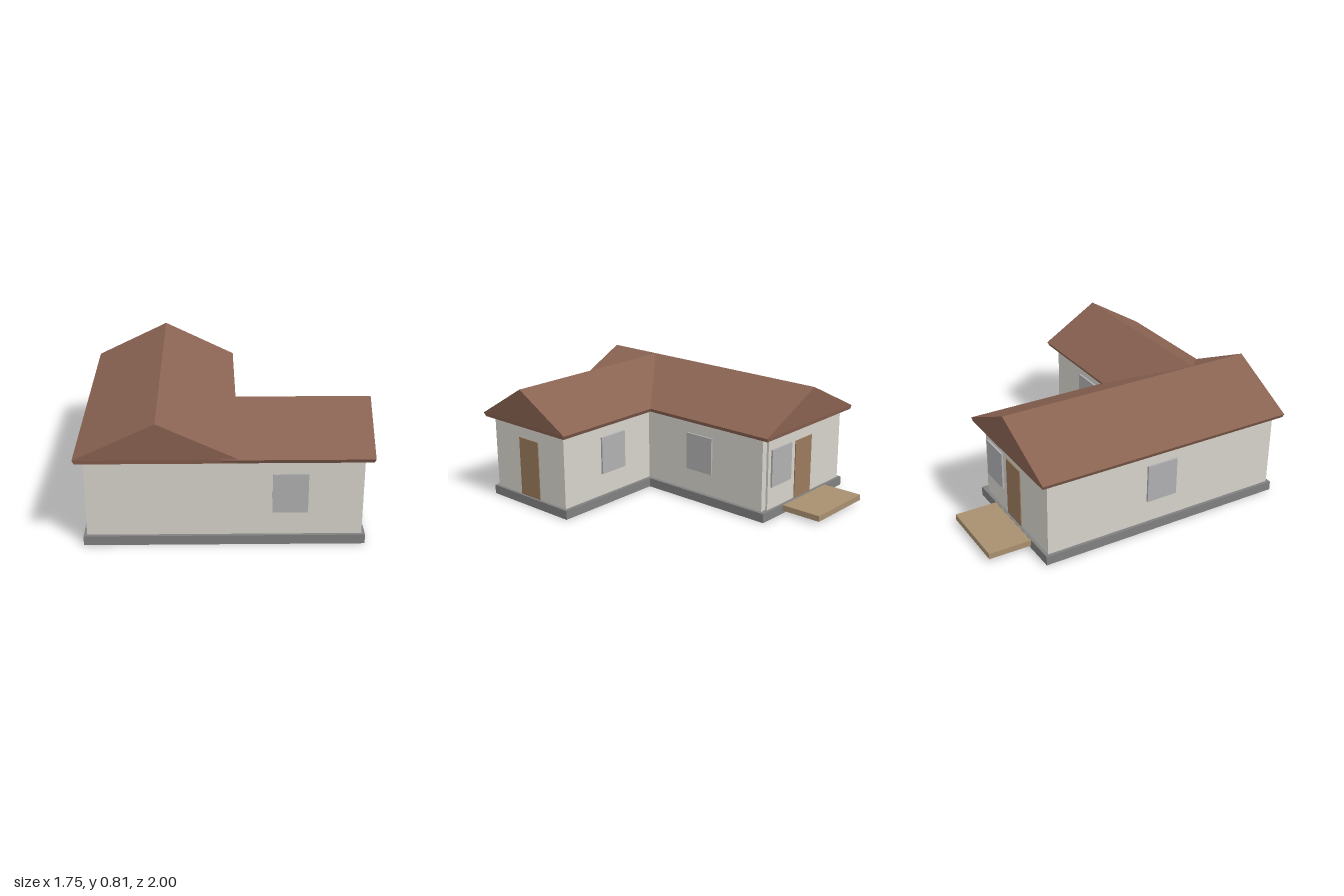
import * as THREE from 'three';

const paint = (color) => new THREE.MeshStandardMaterial({ color, flatShading: true });
const wallMat = paint(0xd6d3ca), baseMat = paint(0x808080), roofMat = paint(0x8a6352);
const glassMat = paint(0xb0b0b2), doorMat = paint(0x9a7a5c), deckMat = paint(0xa89070);

// Box given by its min and max corners
function box(name, mat, [x0, y0, z0], [x1, y1, z1]) {
  const mesh = new THREE.Mesh(new THREE.BoxGeometry(x1 - x0, y1 - y0, z1 - z0), mat);
  mesh.position.set((x0 + x1) / 2, (y0 + y1) / 2, (z0 + z1) / 2);
  mesh.name = name;
  return mesh;
}

// L-shaped storey: long block along z plus a wing towards +x
function lBlock(name, mat, x0, xInner, x1, zBack, zInner, zFront, y0, y1) {
  const outline = [[x0, -zFront], [x1, -zFront], [x1, -zInner], [xInner, -zInner], [xInner, -zBack], [x0, -zBack]];
  const shape = new THREE.Shape(outline.map(([x, y]) => new THREE.Vector2(x, y)));
  const geo = new THREE.ExtrudeGeometry(shape, { depth: y1 - y0, bevelEnabled: false });
  geo.rotateX(-Math.PI / 2);
  geo.translate(0, y0, 0);
  const mesh = new THREE.Mesh(geo, mat);
  mesh.name = name;
  return mesh;
}

// Solid gable roof along z; back and front list the z of [soffit, eave, ridge]
function gableRoof(name, half, back, front) {
  const profile = [
    [-half + 0.012, 0.55, 0], [half - 0.012, 0.55, 0],
    [half, 0.575, 1], [0, 0.806, 2], [-half, 0.575, 1],
  ];
  const ring = (ends) => profile.map(([x, y, k]) => [x, y, ends[k]]);
  const a = ring(back), b = ring(front), n = profile.length, pos = [];
  const tri = (...pts) => pts.forEach((p) => pos.push(...p));
  for (let i = 0; i < n; i++) {
    const j = (i + 1) % n;
    tri(a[i], a[j], b[j]);
    tri(a[i], b[j], b[i]);
  }
  // Ends: gable triangle and fascia strip
  tri(b[4], b[2], b[3]);
  tri(b[0], b[1], b[2]);
  tri(b[0], b[2], b[4]);
  tri(a[2], a[4], a[3]);
  tri(a[1], a[0], a[4]);
  tri(a[1], a[4], a[2]);
  // Side faces above run outward when the profile is counter-clockwise seen from +z
  const geo = new THREE.BufferGeometry();
  geo.setAttribute('position', new THREE.Float32BufferAttribute(pos, 3));
  geo.computeVertexNormals();
  const mesh = new THREE.Mesh(geo, roofMat);
  mesh.name = name;
  return mesh;
}

export function createModel() {
  const house = new THREE.Group();
  house.name = 'house';

  // Foundation and walls
  house.add(lBlock('foundation', baseMat, -0.84, 0.055, 0.835, -0.72, 0.255, 0.96, 0, 0.06));
  house.add(lBlock('walls', wallMat, -0.82, 0.03, 0.815, -0.685, 0.28, 0.94, 0.06, 0.56));
  house.add(box('backWall', wallMat, [-0.82, 0.06, -0.7], [-0.012, 0.56, -0.68]));

  // Roofs: main one along z, wing one along x meeting it at the ridge
  const mainRoof = gableRoof('mainRoof', 0.48, [-0.75, -0.755, -0.765], [0.983, 0.987, 0.998]);
  mainRoof.position.x = -0.397;
  const wingRoof = gableRoof('wingRoof', 0.389, [-0.02, -0.02, -0.395], [0.86, 0.867, 0.876]);
  wingRoof.rotation.y = Math.PI / 2;
  wingRoof.position.z = 0.604;
  house.add(mainRoof, wingRoof);

  // Windows
  const [w0, w1] = [0.21, 0.46];
  house.add(box('frontWindow', glassMat, [0.28, w0, 0.93], [0.49, w1, 0.952]));
  house.add(box('wingBackWindow', glassMat, [0.28, w0, 0.267], [0.49, w1, 0.29]));
  house.add(box('innerWindow', glassMat, [0.02, w0, -0.28], [0.042, w1, -0.07]));
  house.add(box('sideWindow', glassMat, [-0.833, w0, -0.01], [-0.81, w1, 0.2]));
  house.add(box('backWindow', glassMat, [-0.25, w0, -0.712], [-0.04, w1, -0.69]));

  // Doors and back deck
  house.add(box('wingDoor', doorMat, [0.8, 0.06, 0.52], [0.82, 0.455, 0.7]));
  house.add(box('backDoor', doorMat, [-0.48, 0.06, -0.706], [-0.3, 0.455, -0.69]));
  house.add(box('deck', deckMat, [-0.64, 0.02, -1], [-0.155, 0.058, -0.715]));
  return house;
}
